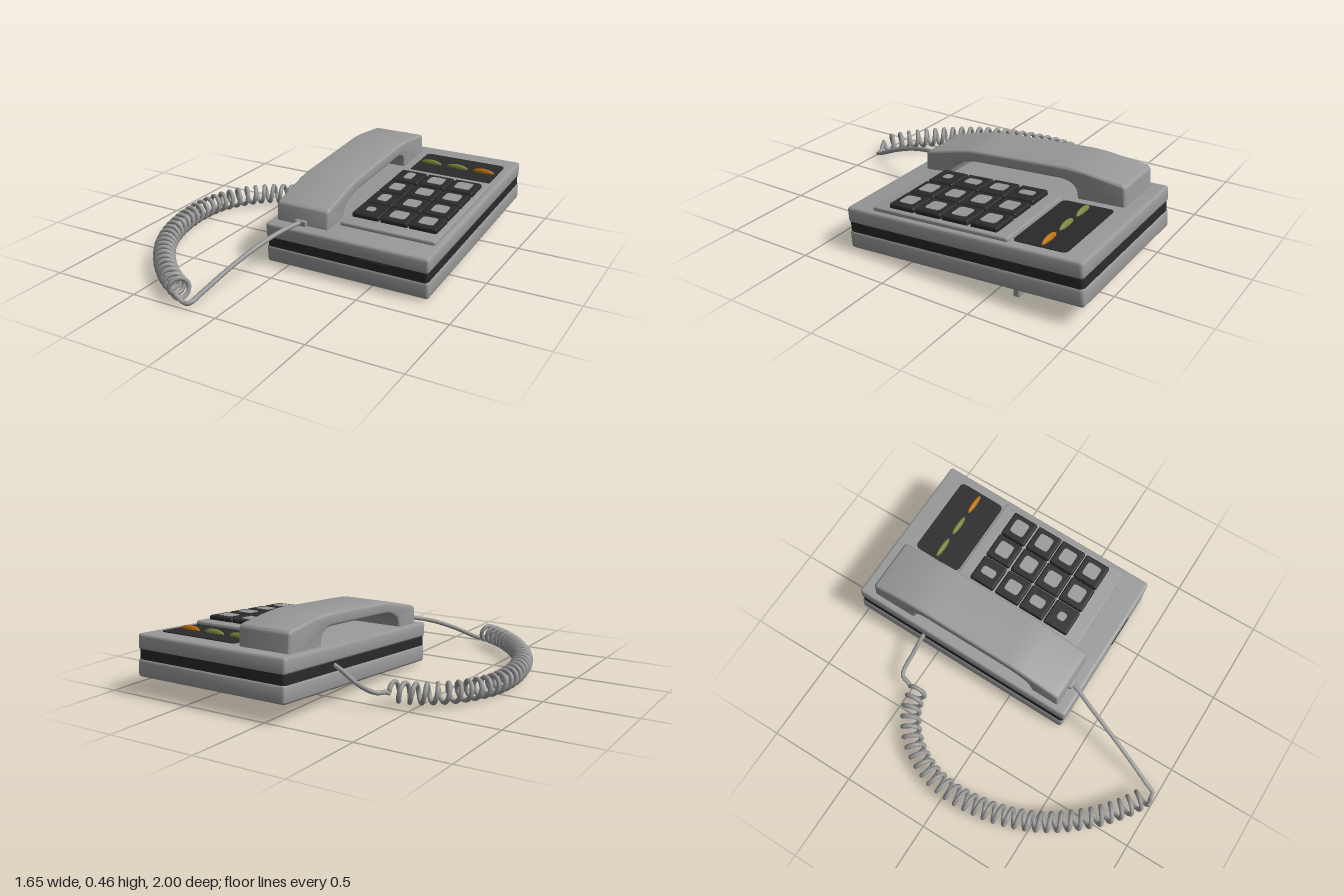
import * as THREE from 'three';
import { toCreasedNormals } from 'three/addons/utils/BufferGeometryUtils.js';
import { RoundedBoxGeometry } from 'three/addons/geometries/RoundedBoxGeometry.js';

const material = (name, color) => {
  const m = new THREE.MeshStandardMaterial({ color });
  m.name = name;
  return m;
};

// Rounded rectangle outline; world z is stored as -y so it can be laid flat.
function roundedRect(Type, x0, x1, z0, z1, r) {
  const s = new Type(), y0 = -z1, y1 = -z0;
  s.moveTo(x0 + r, y0);
  s.lineTo(x1 - r, y0).quadraticCurveTo(x1, y0, x1, y0 + r);
  s.lineTo(x1, y1 - r).quadraticCurveTo(x1, y1, x1 - r, y1);
  s.lineTo(x0 + r, y1).quadraticCurveTo(x0, y1, x0, y1 - r);
  s.lineTo(x0, y0 + r).quadraticCurveTo(x0, y0, x0 + r, y0);
  return s;
}

function bevelled(shape, depth, bevel) {
  const geo = new THREE.ExtrudeGeometry(shape, {
    depth: depth - 2 * bevel, bevelEnabled: bevel > 0, bevelSize: bevel,
    bevelThickness: bevel, bevelOffset: -bevel, bevelSegments: 3, curveSegments: 6,
  });
  geo.translate(0, 0, bevel);
  return toCreasedNormals(geo, 0.6);
}

// Flat slab between heights y0 and y1
const slab = (shape, y0, y1, bevel) =>
  bevelled(shape, y1 - y0, bevel).rotateX(-Math.PI / 2).translate(0, y0, 0);

export function createModel() {
  const grey = material('grey plastic', 0x999999);
  const dark = material('dark plastic', 0x2a2a2a);
  const green = material('olive light', 0x77853a);
  const orange = material('orange light', 0xb8700f);

  const model = new THREE.Group();
  model.name = 'deskTelephone';
  const add = (parent, name, geo, mat, x = 0, y = 0, z = 0) => {
    const mesh = new THREE.Mesh(geo, mat);
    mesh.name = name;
    mesh.position.set(x, y, z);
    parent.add(mesh);
    return mesh;
  };

  // Base leans forward about its lower front edge
  const tilt = new THREE.Group();
  tilt.name = 'tiltedBase';
  tilt.position.set(0, 0.01, 0.345);
  tilt.rotation.x = 0.07;
  model.add(tilt);
  const base = new THREE.Group();
  base.name = 'base';
  base.position.z = -0.345;
  tilt.add(base);

  // Shells with a dark band between them
  const R = THREE.Shape;
  const outline = () => roundedRect(R, -0.12, 0.82, -1.005, 0.345, 0.02);
  add(base, 'lowerShell', slab(outline(), 0, 0.096, 0.014), grey);
  add(base, 'darkBand', slab(roundedRect(R, -0.115, 0.815, -1.0, 0.341, 0.02), 0.09, 0.148, 0), dark);
  const top = outline();
  top.holes.push(roundedRect(THREE.Path, -0.098, 0.232, -0.94, 0.3, 0.02));
  add(base, 'upperShell', slab(top, 0.142, 0.227, 0.014), grey);
  add(base, 'cradleFloor', slab(roundedRect(R, -0.105, 0.24, -0.95, 0.31, 0.01), 0.15, 0.165, 0), grey);
  add(base, 'frontSocket', new THREE.BoxGeometry(0.18, 0.045, 0.009), dark, 0.52, 0.119, 0.342);

  // Keypad
  add(base, 'keypadPanel', slab(roundedRect(R, 0.25, 0.79, -0.6, 0.195, 0.012), 0.215, 0.247, 0.01), grey);
  const columns = [0.355, 0.52, 0.683];
  const rows = [-0.45, -0.285, -0.125, 0.035];
  const markWidths = [[0.05, 0.09, 0.09], [0.075, 0.09, 0.09], [0.06, 0.085, 0.085], [0.05, 0.09, 0.085]];
  const keyGeo = new RoundedBoxGeometry(0.156, 0.045, 0.152, 3, 0.01);
  rows.forEach((z, r) => columns.forEach((x, c) => {
    add(base, 'key', keyGeo, dark, x, 0.2485, z);
    const w = markWidths[r][c] / 2, h = r === 3 && c === 0 ? 0.025 : 0.043;
    add(base, 'keyPad', slab(roundedRect(R, x - w, x + w, z - h, z + h, 0.02), 0.268, 0.274, 0), grey);
  }));

  // Indicator window with three lights
  add(base, 'indicatorWindow', slab(roundedRect(R, 0.275, 0.765, -0.895, -0.61, 0.03), 0.224, 0.231, 0), dark);
  columns.forEach((x, i) => {
    const light = add(base, 'indicatorLight', new THREE.SphereGeometry(1, 20, 12), i < 2 ? green : orange, x, 0.23, -0.76);
    light.scale.set(0.066, 0.024, 0.015);
  });

  // Rear support feet
  for (const x of columns) {
    add(model, 'foot', new RoundedBoxGeometry(0.15, 0.1, 0.036, 3, 0.01), grey, x, 0.05, -0.612);
    add(model, 'footCollar', new RoundedBoxGeometry(0.158, 0.05, 0.046, 2, 0.008), grey, x, 0.085, -0.612);
  }

  // Handset: side profile drawn with -z along x, extruded across its width
  const p = new THREE.Shape();
  p.moveTo(-0.298, 0.2);
  p.lineTo(-0.293, 0.33).quadraticCurveTo(-0.29, 0.345, -0.26, 0.352);
  p.lineTo(-0.06, 0.404).quadraticCurveTo(0, 0.418, 0.06, 0.422);
  p.lineTo(0.52, 0.456).quadraticCurveTo(0.6, 0.464, 0.68, 0.456);
  p.lineTo(0.87, 0.438).quadraticCurveTo(0.897, 0.434, 0.898, 0.41);
  p.lineTo(0.908, 0.28);
  p.lineTo(0.65, 0.262);
  p.lineTo(0.635, 0.34).quadraticCurveTo(0.62, 0.392, 0.54, 0.39);
  p.lineTo(0.06, 0.358).quadraticCurveTo(-0.04, 0.35, -0.09, 0.315);
  p.quadraticCurveTo(-0.12, 0.29, -0.13, 0.21);
  add(model, 'handset', bevelled(p, 0.31, 0.014).rotateY(Math.PI / 2), grey, -0.085, 0, 0);
  add(model, 'cordPlug', new RoundedBoxGeometry(0.07, 0.034, 0.03, 2, 0.008), grey, 0.065, 0.252, 0.297);

  // Cord: straight lead, coil along a bow, straight lead to the handset
  const v = (x, y, z) => new THREE.Vector3(x, y, z);
  const bow = new THREE.CatmullRomCurve3([
    v(-0.37, 0.075, -0.45), v(-0.5, 0.072, -0.41), v(-0.64, 0.072, -0.3), v(-0.74, 0.072, -0.12),
    v(-0.768, 0.072, 0.06), v(-0.74, 0.072, 0.3), v(-0.66, 0.072, 0.52), v(-0.52, 0.072, 0.72),
    v(-0.36, 0.072, 0.87), v(-0.23, 0.07, 0.95),
  ]);
  const points = [
    v(-0.1, 0.205, -0.57), v(-0.17, 0.172, -0.573), v(-0.24, 0.13, -0.576), v(-0.32, 0.1, -0.577),
    v(-0.36, 0.09, -0.56), v(-0.375, 0.085, -0.51),
  ];
  const turns = 32, perTurn = 12, up = v(0, 1, 0);
  for (let i = 0; i <= turns * perTurn; i++) {
    const t = i / (turns * perTurn), a = (i / perTurn) * Math.PI * 2;
    const side = bow.getTangentAt(t).cross(up).normalize();
    points.push(bow.getPointAt(t)
      .addScaledVector(side, 0.048 * Math.cos(a))
      .addScaledVector(up, 0.048 * Math.sin(a)));
  }
  points.push(
    v(-0.21, 0.025, 0.978), v(-0.175, 0.022, 0.975), v(-0.155, 0.045, 0.92), v(-0.11, 0.11, 0.79),
    v(-0.05, 0.185, 0.61), v(0.005, 0.232, 0.45), v(0.045, 0.252, 0.35), v(0.065, 0.255, 0.29),
  );
  // Each point gets an equal share of segments, so the coil stays round
  const path = new THREE.CatmullRomCurve3(points);
  path.getPointAt = path.getPoint;
  path.getTangentAt = path.getTangent;
  add(model, 'coiledCord', new THREE.TubeGeometry(path, (points.length - 1) * 2, 0.0125, 8), grey);

  return model;
}
